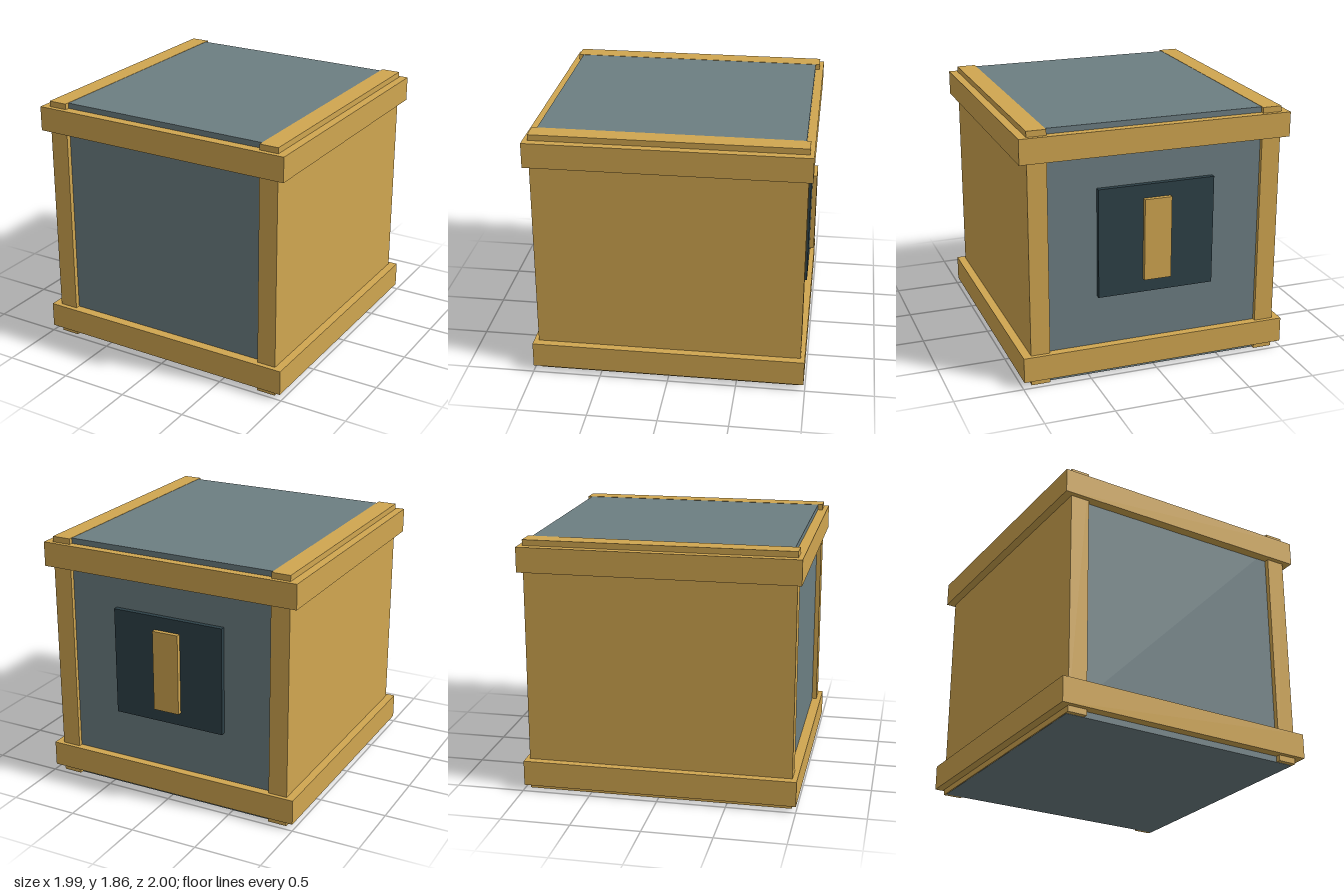
import * as THREE from 'three';

const wood = new THREE.MeshStandardMaterial({ color: 0xd0a650 });
const slate = new THREE.MeshStandardMaterial({ color: 0x6c7e82 });
const dark = new THREE.MeshStandardMaterial({ color: 0x2d4047 });

// Box given by its [min, max] extent on each axis
function box(name, material, [x0, x1], [y0, y1], [z0, z1]) {
  const mesh = new THREE.Mesh(new THREE.BoxGeometry(x1 - x0, y1 - y0, z1 - z0), material);
  mesh.position.set((x0 + x1) / 2, (y0 + y1) / 2, (z0 + z1) / 2);
  mesh.name = name;
  return mesh;
}

export function createModel() {
  const crate = new THREE.Group();
  crate.name = 'crate';

  // Inner body, a hair inside the side panels
  crate.add(box('body', slate, [-0.928, 0.928], [0, 1.86], [-0.93, 0.93]));

  // Thick wooden side panels, whose ends form the corner posts
  crate.add(box('rightPanel', wood, [-0.935, -0.795], [0.002, 1.862], [-0.96, 0.965]));
  crate.add(box('leftPanel', wood, [0.79, 0.93], [0.002, 1.862], [-0.96, 0.965]));

  // Straps around the bottom and the top
  crate.add(box('lowerStrap', wood, [-0.995, 0.99], [0.045, 0.23], [-0.99, 1]));
  crate.add(box('upperStrap', wood, [-0.995, 0.99], [1.64, 1.82], [-0.99, 1]));

  // Plate and upright handle on the back
  crate.add(box('backPlate', dark, [-0.43, 0.43], [0.6, 1.4], [-0.967, -0.92]));
  crate.add(box('backHandle', wood, [-0.1, 0.1], [0.7, 1.3], [-1, -0.95]));

  return crate;
}
